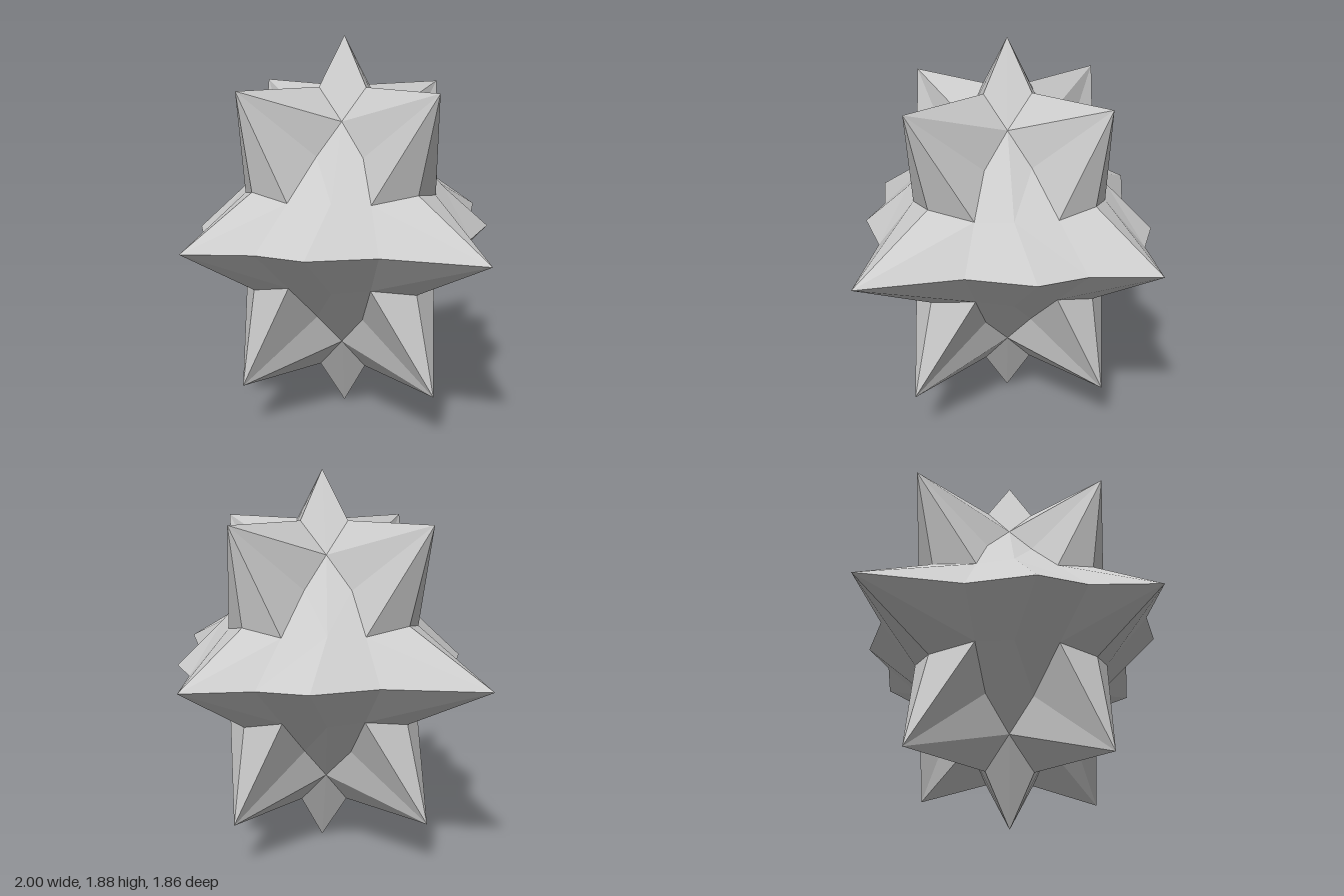
import * as THREE from 'three';

// Corner points of one octant, measured from the star's centre
const P = {
  // spike tips
  sideTip: [1, 0, 0], poleTip: [0, 0.94, 0], frontTip: [0, 0, 0.93],
  upSide: [0.665, 0.7, 0], upFront: [0, 0.7, 0.62],
  // valleys lying in the mirror planes
  poleSide: [0.165, 0.7, 0], poleFront: [0, 0.7, 0.155],
  sideNotch: [0.54, 0.235, 0], frontNotch: [0, 0.235, 0.545],
  rimSide: [0.6, 0, 0.285], rimCorner: [0.44, 0, 0.57], rimFront: [0.22, 0, 0.68],
  // inner corners
  high: [0.143, 0.545, 0.13],
  midFront: [0.13, 0.39, 0.27], midSide: [0.302, 0.39, 0.13],
  lowFront: [0.175, 0.2, 0.47], lowSide: [0.445, 0.2, 0.2],
  ridge: [0.345, 0.21, 0.35],
};

// Each part: a fan centre followed by the rim of the fan
const PARTS = {
  poleSpikes: ['poleTip', 'poleFront', 'high', 'poleSide'],
  sideSpikes: ['sideTip', 'sideNotch', 'lowSide', 'rimSide'],
  frontBackSpikes: ['frontTip', 'rimFront', 'lowFront', 'frontNotch'],
  sideDiagonalSpikes: ['upSide', 'poleSide', 'high', 'midSide', 'lowSide', 'sideNotch'],
  frontBackDiagonalSpikes: ['upFront', 'poleFront', 'high', 'midFront', 'lowFront', 'frontNotch'],
  cornerFacets: ['ridge', 'high', 'midFront', 'lowFront', 'rimFront', 'rimCorner',
    'rimSide', 'lowSide', 'midSide', 'high'],
};

// Mirrors a fan into all eight octants, every triangle facing outward
function mirroredFan([hub, ...rim]) {
  const pos = [];
  const n = new THREE.Vector3();
  for (const sx of [1, -1]) for (const sy of [1, -1]) for (const sz of [1, -1]) {
    const at = (k) => new THREE.Vector3(P[k][0] * sx, P[k][1] * sy, P[k][2] * sz);
    for (let i = 0; i < rim.length - 1; i++) {
      const t = [at(hub), at(rim[i]), at(rim[i + 1])];
      n.subVectors(t[1], t[0]).cross(t[2].clone().sub(t[0]));
      if (n.dot(t[0]) < 0) t.reverse();
      t.forEach((v) => pos.push(v.x, v.y, v.z));
    }
  }
  const geo = new THREE.BufferGeometry();
  geo.setAttribute('position', new THREE.Float32BufferAttribute(pos, 3));
  geo.computeVertexNormals();
  return geo;
}

export function createModel() {
  const model = new THREE.Group();
  model.name = 'spikedStar';
  const material = new THREE.MeshStandardMaterial({ color: 0xcccccc, flatShading: true });
  for (const [name, fan] of Object.entries(PARTS)) {
    const mesh = new THREE.Mesh(mirroredFan(fan), material);
    mesh.name = name;
    mesh.position.y = 0.94; // lowest tip rests on the ground
    model.add(mesh);
  }
  return model;
}
